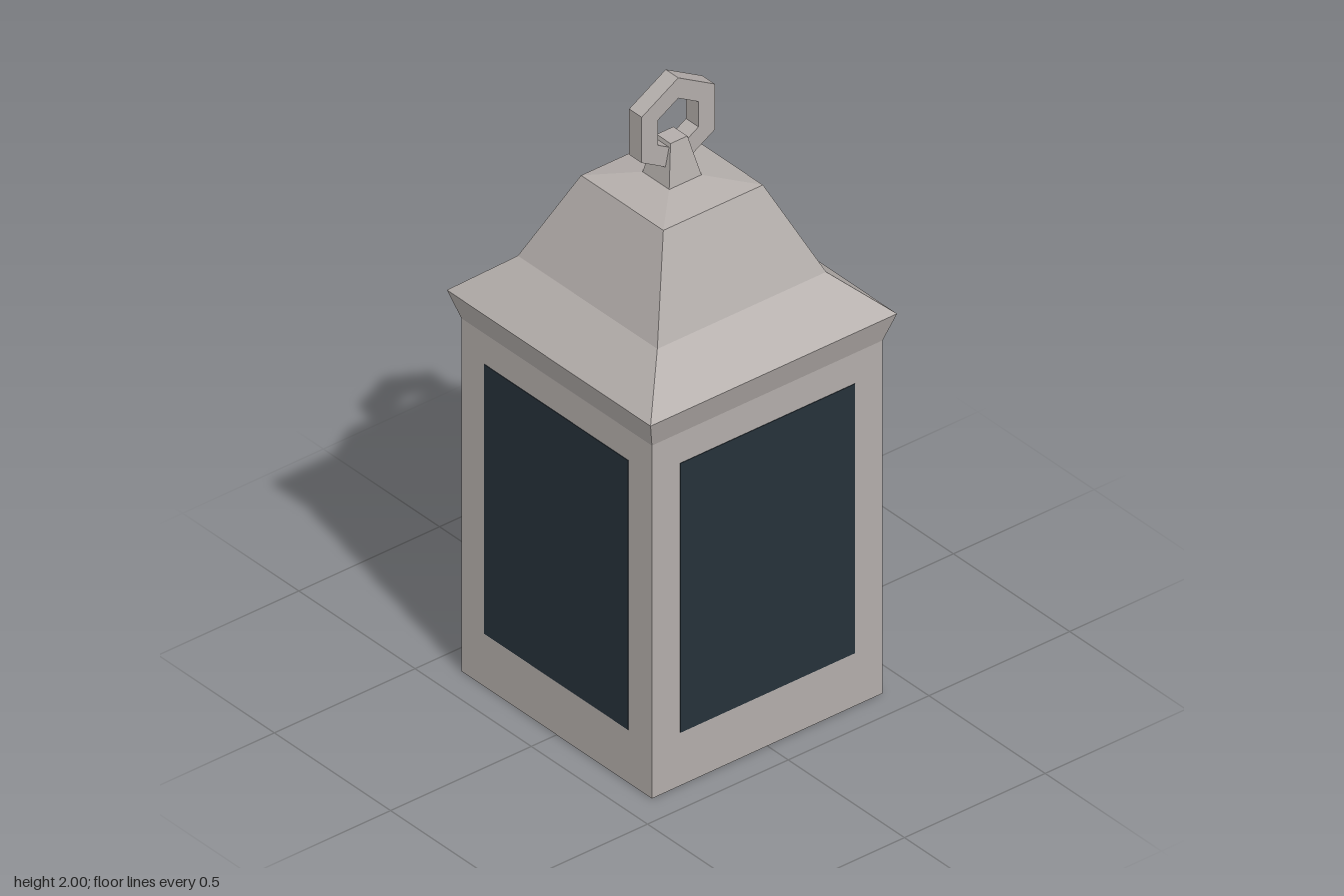
import * as THREE from 'three';

const metal = new THREE.MeshStandardMaterial({ color: 0xb3adaa, flatShading: true });
metal.name = 'warm grey metal';
const glass = new THREE.MeshStandardMaterial({ color: 0x26313a, flatShading: true });
glass.name = 'dark glass';

// Square-section solid from a list of [halfWidth, y], bottom to top
function squareLoft(name, profile) {
  const points = profile.map(([half, y]) => new THREE.Vector2(half * Math.SQRT2, y));
  const mesh = new THREE.Mesh(new THREE.LatheGeometry(points, 4, Math.PI / 4), metal);
  mesh.name = name;
  return mesh;
}

// Hexagon outline with a corner at the top
function hexagon(target, radius) {
  const corners = [];
  for (let i = 0; i < 6; i++) {
    const a = Math.PI / 2 + (i * Math.PI) / 3;
    corners.push(new THREE.Vector2(Math.cos(a) * radius, Math.sin(a) * radius));
  }
  return target.setFromPoints(corners);
}

export function createModel() {
  const lantern = new THREE.Group();
  lantern.name = 'lantern';

  // Square housing, closed underneath
  lantern.add(squareLoft('housing', [[0, 0], [0.41, 0], [0.41, 1.16]]));

  // Flared eaves and two-slope roof with a shallow cap
  lantern.add(squareLoft('roof', [
    [0.41, 1.16], [0.438, 1.25], [0.3, 1.375], [0.177, 1.65], [0.056, 1.673], [0, 1.673],
  ]));

  // Tapered post holding the ring
  lantern.add(squareLoft('ringPost', [[0.058, 1.67], [0.03, 1.798], [0, 1.798]]));

  // Hexagonal hanging ring
  const outline = hexagon(new THREE.Shape(), 0.15);
  outline.holes.push(hexagon(new THREE.Path(), 0.083));
  const ringGeometry = new THREE.ExtrudeGeometry(outline, { depth: 0.054, bevelEnabled: false });
  ringGeometry.translate(0, 1.85, -0.027);
  const ring = new THREE.Mesh(ringGeometry, metal);
  ring.name = 'hangingRing';
  lantern.add(ring);

  // One glass pane on each side
  for (let i = 0; i < 4; i++) {
    const pane = new THREE.Mesh(new THREE.BoxGeometry(0.62, 0.885, 0.004), glass);
    pane.name = 'windowPane';
    const a = (i * Math.PI) / 2;
    pane.rotation.y = a;
    pane.position.set(Math.sin(a) * 0.41, 0.6175, Math.cos(a) * 0.41);
    lantern.add(pane);
  }
  return lantern;
}
